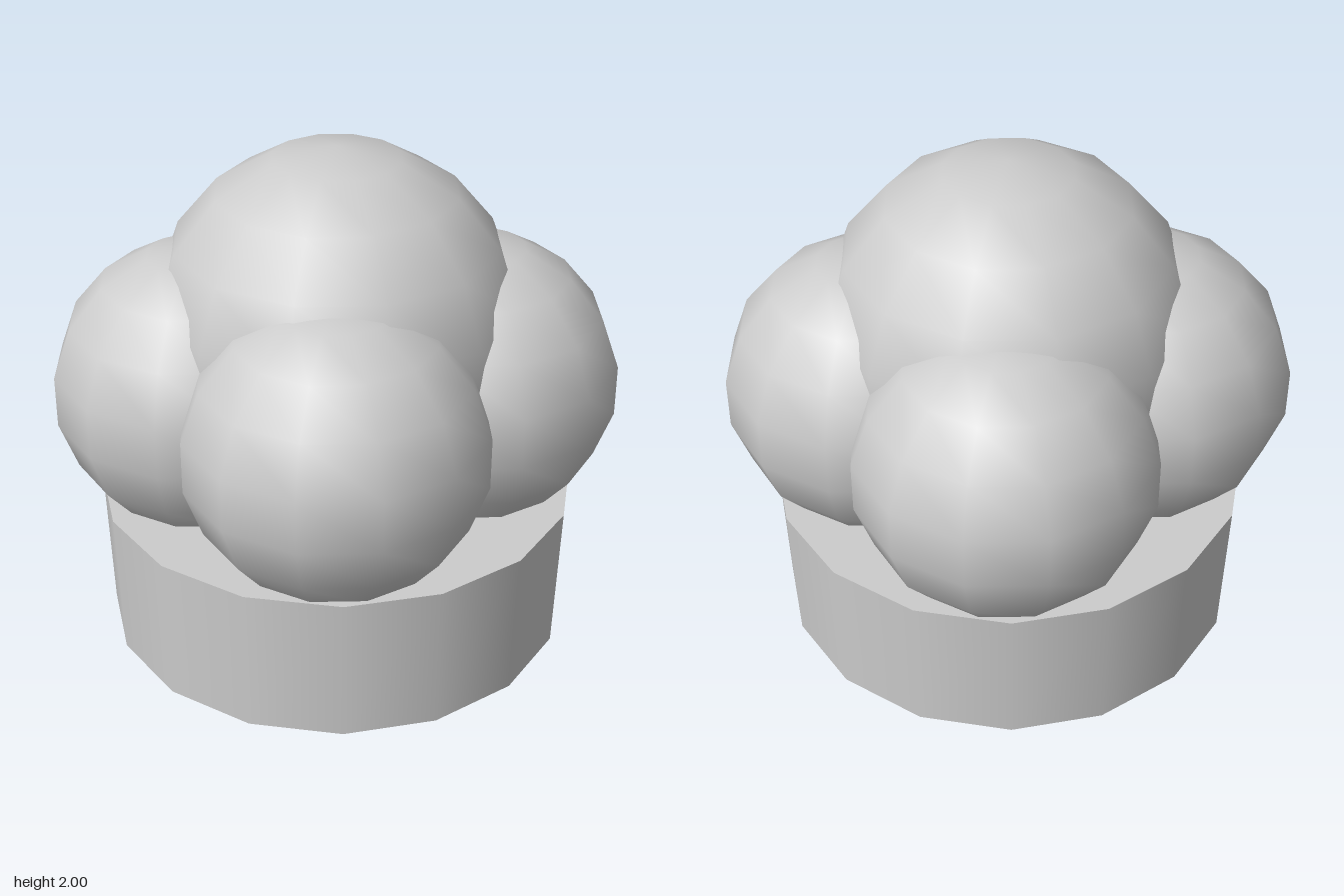
import * as THREE from 'three';

export function createModel() {
  const group = new THREE.Group();
  const grey = new THREE.MeshStandardMaterial({ color: 0xcccccc });
  grey.name = 'light grey';

  const add = (name, geometry, x, y, z) => {
    const mesh = new THREE.Mesh(geometry, grey);
    mesh.name = name;
    mesh.position.set(x, y, z);
    group.add(mesh);
  };

  // Slightly flared round base
  add('base', new THREE.CylinderGeometry(0.95, 0.93, 0.6, 16), 0, 0.3, 0);

  // Four lower balls, one in each corner
  const lowerBall = new THREE.SphereGeometry(0.59, 12, 9);
  for (const [side, sx] of [['Left', 1], ['Right', -1]]) {
    for (const [end, sz] of [['front', 1], ['back', -1]]) {
      add(`${end}${side}Ball`, lowerBall, sx * 0.36, 1.025, sz * 0.385);
    }
  }

  // Large ball on top
  add('topBall', new THREE.SphereGeometry(0.73, 12, 9), 0, 1.27, 0);

  return group;
}
